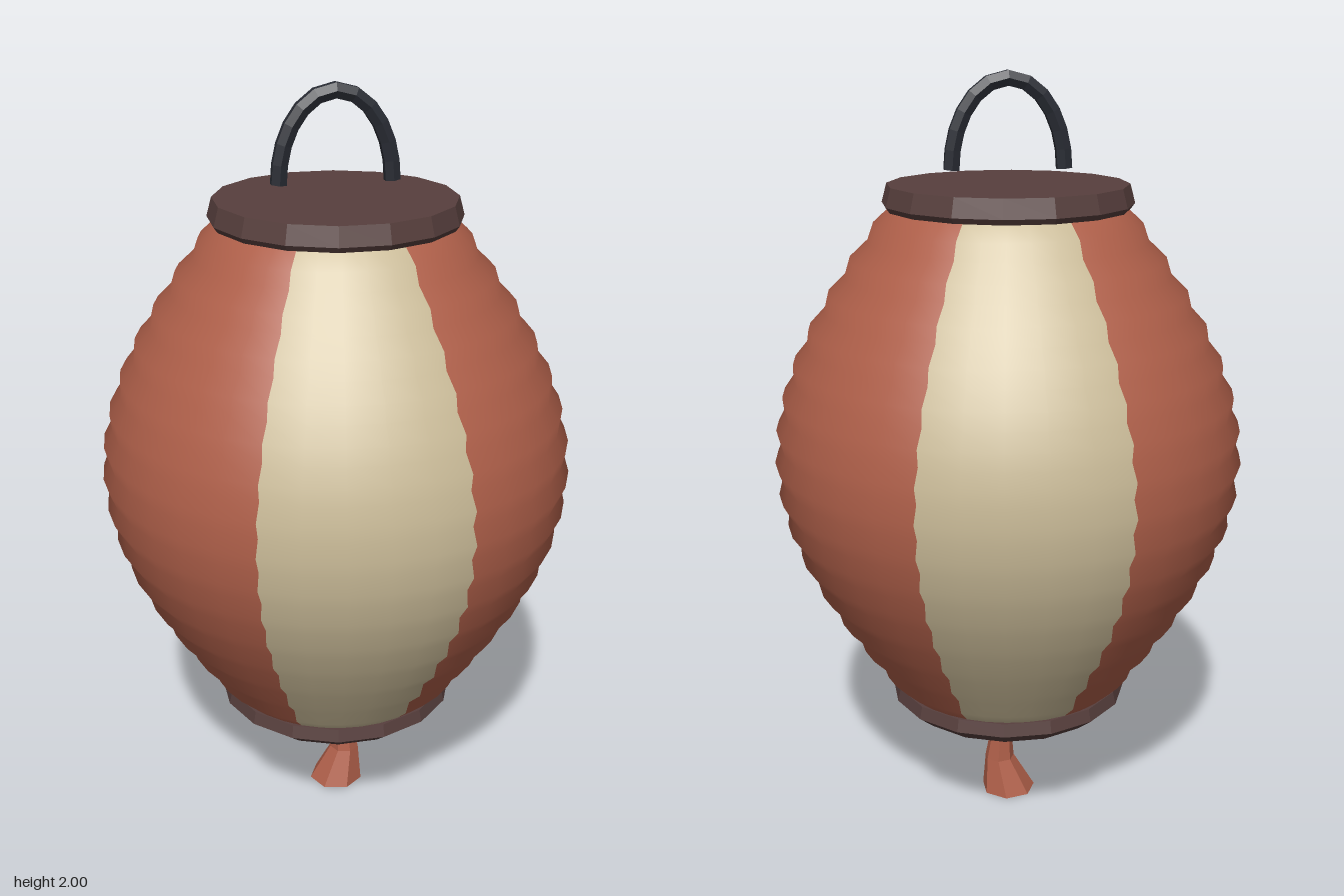
import * as THREE from 'three';

const flat = (hex, name) => new THREE.MeshStandardMaterial({ color: hex, name, flatShading: true });
const red = new THREE.MeshStandardMaterial({ color: 0xb0604a, name: 'red paper' });
const cream = new THREE.MeshStandardMaterial({ color: 0xcabb98, name: 'cream paper' });
const tasselRed = red.clone();
tasselRed.flatShading = true;
const creamCord = cream.clone();
creamCord.flatShading = true;
const wood = flat(0x573f3d, 'dark wood');
const iron = flat(0x292c34, 'black iron');

const deg = THREE.MathUtils.degToRad;
const v2 = (x, y) => new THREE.Vector2(x, y);
const v3 = (x, y, z) => new THREE.Vector3(x, y, z);

function add(parent, name, geometry, material) {
  const mesh = new THREE.Mesh(geometry, material);
  mesh.name = name;
  parent.add(mesh);
  return mesh;
}

// Straight-sided tube through points, closed with a disc at each end
function rod(points, radius, sides) {
  const path = new THREE.CurvePath();
  for (let i = 1; i < points.length; i++) path.add(new THREE.LineCurve3(points[i - 1], points[i]));
  return path.curves.length > 0 ? new THREE.TubeGeometry(path, points.length * 2, radius, sides) : null;
}

export function createModel() {
  const model = new THREE.Group();
  model.name = 'paperLantern';

  // Ribbed paper body: barrel profile with a shallow zigzag
  const ribs = 15;
  const profile = [];
  for (let i = 0; i <= ribs * 2; i++) {
    const t = i / (ribs * 2);
    const ripple = i % 2 ? 0.008 : -0.008;
    profile.push(v2(0.305 + 0.303 * Math.sin(Math.PI * t) + ripple, 0.355 + 1.31 * t));
  }
  const body = new THREE.Group();
  body.name = 'body';
  model.add(body);
  const panels = [
    ['frontStripe', -30, 50, cream], ['leftPanel', 20, 130, red],
    ['backStripe', 150, 50, cream], ['rightPanel', 200, 130, red],
  ];
  for (const [name, start, sweep, material] of panels) {
    add(body, name, new THREE.LatheGeometry(profile, sweep / 10, deg(start), deg(sweep)), material);
  }

  // Sixteen-sided end caps
  const cap = (name, points) => add(model, name,
    new THREE.LatheGeometry(points.map(p => v2(...p)), 16, deg(11.25)), wood);
  cap('topCap', [[0, 1.658], [0.312, 1.658], [0.322, 1.672], [0.309, 1.72], [0, 1.72]]);
  cap('bottomCap', [[0, 0.29], [0.275, 0.29], [0.322, 0.328], [0.314, 0.362], [0, 0.362]]);

  // Arched handle
  const arch = [];
  for (let i = 0; i <= 12; i++) {
    const a = Math.PI * (1 - i / 12);
    arch.push(v3(0.144 * Math.cos(a), 1.755 + 0.223 * Math.sin(a), 0));
  }
  const handle = new THREE.Group();
  handle.name = 'handle';
  model.add(handle);
  add(handle, 'handleArch',
    new THREE.TubeGeometry(new THREE.CatmullRomCurve3(arch), 12, 0.022, 6), iron);
  for (const side of [-1, 1]) {
    const end = add(handle, 'handleEnd', new THREE.CircleGeometry(0.022, 6), iron);
    end.rotation.x = Math.PI / 2;
    end.position.set(side * 0.144, 1.755, 0);
  }

  // Bent cord down to the tassel
  add(model, 'cord', rod([v3(0.004, 0.31, 0), v3(0.031, 0.17, 0.036), v3(0.02, 0.1, 0.01)], 0.015, 5), creamCord);

  // Seven-sided tassel, leaning and flaring to its foot
  const rings = [[0, 0, 0.075], [0.025, 0, 0.041], [0.02, -0.004, 0.028]];
  const tassel = new THREE.CylinderGeometry(1, 1, 2, 7, 2, false, -Math.PI / 2);
  const pos = tassel.attributes.position;
  for (let i = 0; i < pos.count; i++) {
    const level = Math.round(pos.getY(i)) + 1;
    const [cx, cz, r] = rings[level];
    pos.setXYZ(i, cx + pos.getX(i) * r, [0, 0.1, 0.195][level], cz + pos.getZ(i) * r);
  }
  tassel.computeVertexNormals();
  add(model, 'tassel', tassel, tasselRed);

  return model;
}
